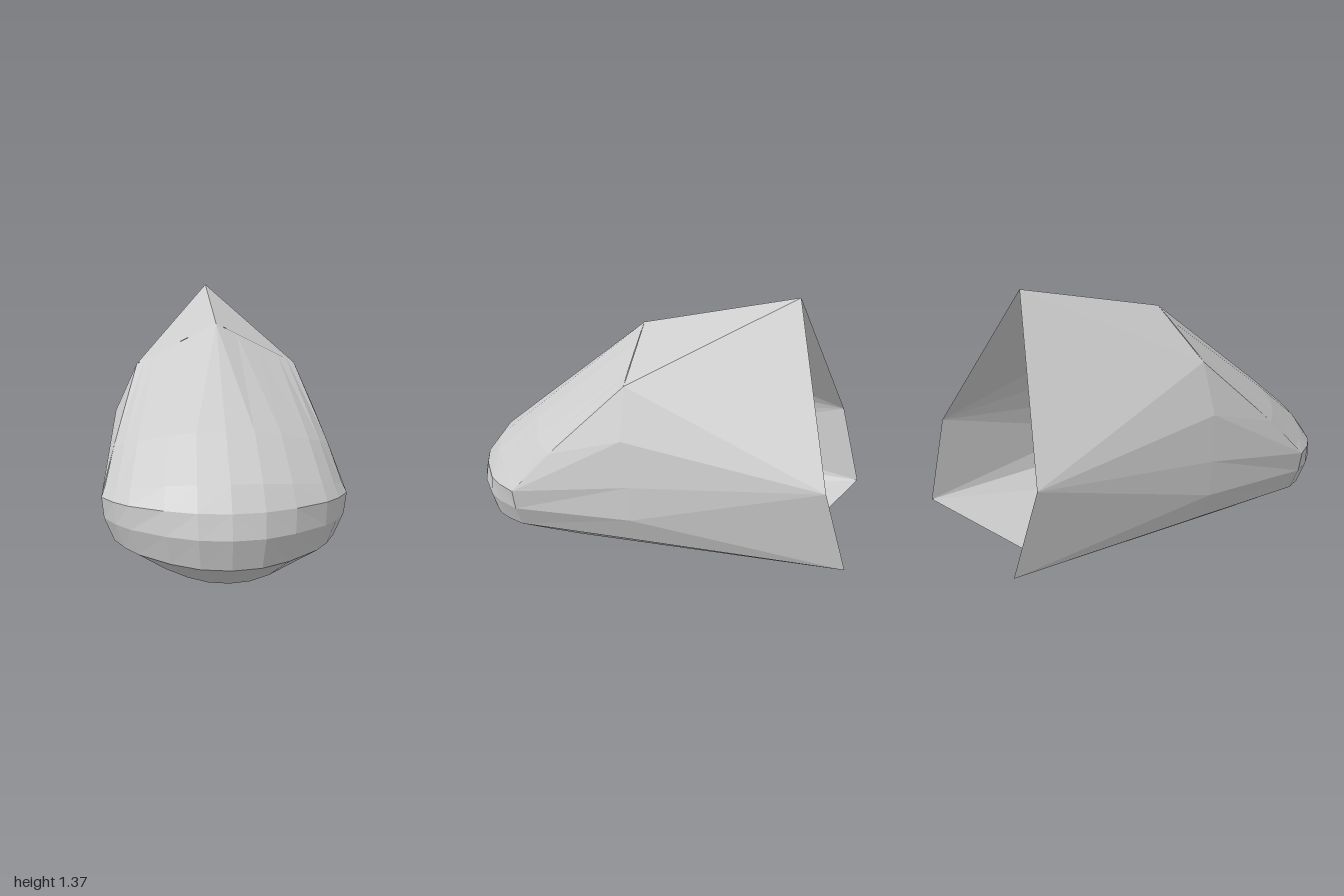
import * as THREE from 'three';

const material = new THREE.MeshStandardMaterial({
  color: 0xcccccc, flatShading: true, side: THREE.DoubleSide,
});

// Rounded toe outline in plan, from the side corner to the centre: [x share, forward share]
const OUTLINE = [[1, 0], [0.9, 0.28], [0.78, 0.5], [0.51, 0.78], [0.26, 0.95], [0, 1]];

// One contour around the toe; power bends its height from corner to centre
function contour(halfWidth, zCorner, zFront, yCorner, yFront, power = 2) {
  return OUTLINE.map(([u, f]) => [
    u * halfWidth,
    yFront + (yCorner - yFront) * u ** power,
    zCorner + (zFront - zCorner) * f,
  ]);
}

// Skin between two chains of equal length
function strip(a, b) {
  const tris = [];
  for (let i = 0; i < a.length - 1; i++) {
    tris.push([a[i], b[i], b[i + 1]], [a[i], b[i + 1], a[i + 1]]);
  }
  return tris;
}

// Mesh from a half skin and its mirror image, dropping collapsed triangles
function mirroredMesh(name, tris) {
  const same = (p, q) => p.every((v, k) => Math.abs(v - q[k]) < 1e-6);
  const flip = ([x, y, z]) => [-x, y, z];
  const out = [];
  for (const [a, b, c] of tris) {
    if (same(a, b) || same(b, c) || same(a, c)) continue;
    out.push(...a, ...b, ...c, ...flip(a), ...flip(c), ...flip(b));
  }
  const geometry = new THREE.BufferGeometry();
  geometry.setAttribute('position', new THREE.Float32BufferAttribute(out, 3));
  geometry.computeVertexNormals();
  const mesh = new THREE.Mesh(geometry, material);
  mesh.name = name;
  return mesh;
}

export function createModel() {
  const group = new THREE.Group();
  group.name = 'openShell';

  // Contours from the top of the hood down to the keel
  const rows = [
    contour(0.40, 0.10, 0.11, 0.99, 1.19, 1),
    contour(0.51, 0.46, 0.66, 0.64, 0.74),
    contour(0.55, 0.60, 0.89, 0.48, 0.55),
    contour(0.565, 0.64, 0.97, 0.44, 0.44),
    contour(0.555, 0.63, 1.0, 0.34, 0.33),
    contour(0.51, 0.62, 0.97, 0.23, 0.19),
    contour(0.36, 0.55, 0.85, 0.13, 0.09),
    contour(0.25, 0.40, 0.67, 0.055, 0.025),
    contour(0, 0.40, 0.40, 0, 0),
  ];
  const corner = rows.map((row) => row[0]);
  const skin = (from, to) => {
    const tris = [];
    for (let i = from; i < to; i++) tris.push(...strip(rows[i + 1], rows[i]));
    return tris;
  };
  group.add(mirroredMesh('hood', skin(0, 3)));
  group.add(mirroredMesh('toe', skin(3, 8)));

  // Middle rib and the open rear rim, top to bottom
  const ridge = [0, 1.19, 0.11];
  const shoulder = corner[0];
  const upper = [0.51, 0.75, 0.09];
  const waist = [0.55, 0.53, 0.05];
  const lower = [0.56, 0.36, 0.03];
  const seam = [0.515, 0.23, 0.0];
  const bilge = corner[7];
  const keel = corner[8];
  const peak = [0, 1.37, -0.67];
  const rimSide = [0.525, 0.61, -0.89];
  const rimLow = [0.48, 0.2, -1.0];
  const rimKeel = [0, 0.04, -0.72];

  // Rear body, from the rim to the middle rib
  group.add(mirroredMesh('rearBody', strip(
    [peak, peak, rimSide, rimSide, rimSide, rimLow, rimLow, rimKeel, rimKeel],
    [ridge, shoulder, shoulder, upper, waist, lower, seam, bilge, keel],
  )));

  // Side walls, from the middle rib to the toe corners
  group.add(mirroredMesh('sideWalls', strip(
    [shoulder, upper, waist, lower, seam, seam, bilge],
    [shoulder, corner[1], corner[3], corner[4], corner[5], corner[6], bilge],
  )));

  return group;
}
